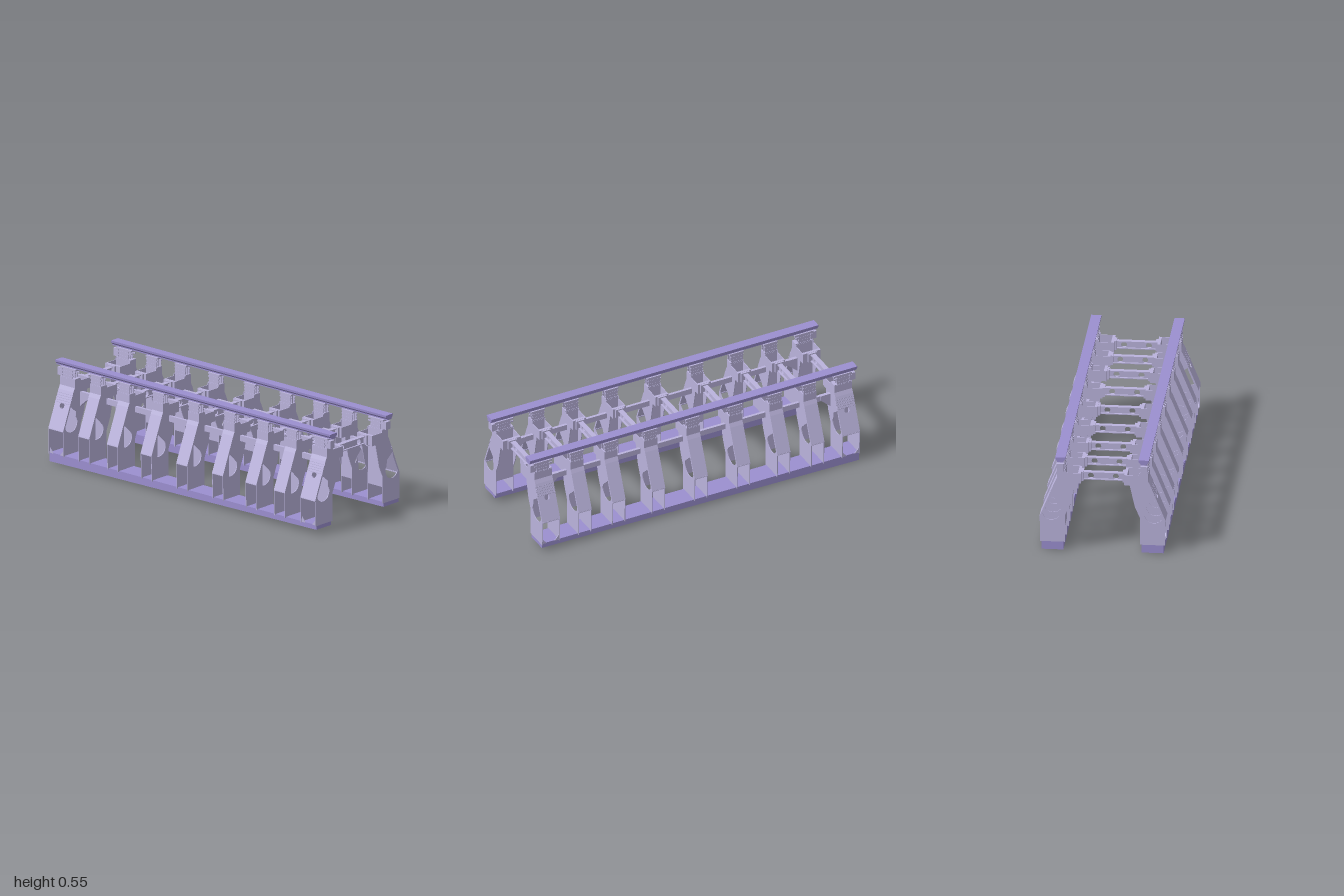
import * as THREE from 'three';

const frameMat = new THREE.MeshStandardMaterial({ color: 0xbab3dc, flatShading: true });
const beamMat = new THREE.MeshStandardMaterial({ color: 0x9b8fd0, flatShading: true });
const T = 0.004; // sheet thickness

function add(parent, name, geo, mat = frameMat) {
  const mesh = new THREE.Mesh(geo, mat);
  mesh.name = name;
  parent.add(mesh);
  return mesh;
}

// box given by its limits
function box(parent, name, x0, x1, y0, y1, z0, z1, mat) {
  const geo = new THREE.BoxGeometry(x1 - x0, y1 - y0, z1 - z0);
  geo.translate((x0 + x1) / 2, (y0 + y1) / 2, (z0 + z1) / 2);
  return add(parent, name, geo, mat);
}

const points = (list) => list.map(([x, y]) => new THREE.Vector2(x, y));

function extrude(shape, z0, z1) {
  const geo = new THREE.ExtrudeGeometry(shape, { depth: z1 - z0, bevelEnabled: false, curveSegments: 16 });
  return geo.translate(0, 0, z0);
}

// flat sheet spanning z = +-h between two points of the xy plane, thickened to its left
function sheet(parent, name, [ax, ay], [bx, by], h, holeAt) {
  const len = Math.hypot(bx - ax, by - ay);
  const shape = new THREE.Shape(points([[-h, 0], [h, 0], [h, len], [-h, len]]));
  if (holeAt) {
    const hole = new THREE.Path();
    hole.absarc(0, holeAt, 0.016, 0, Math.PI * 2, true);
    shape.holes.push(hole);
  }
  const dx = (bx - ax) / len, dy = (by - ay) / len;
  const m = new THREE.Matrix4().makeBasis(
    new THREE.Vector3(0, 0, 1), new THREE.Vector3(dx, dy, 0), new THREE.Vector3(-dy, dx, 0));
  m.setPosition(ax, ay, 0);
  return add(parent, name, extrude(shape, 0, T).applyMatrix4(m));
}

// side cheek of a leg, with a teardrop opening
function cheekShape(isEnd) {
  const shape = new THREE.Shape(points([
    [0.204, 0.046], [0.34, 0.046], [0.342, 0.19], [0.259, 0.396], [0.248, 0.418], [0.248, 0.462],
    [0.2, 0.462], [0.198, 0.451], [0.122, 0.451], [0.122, 0.392], [0.148, 0.392],
    [isEnd ? 0.176 : 0.172, isEnd ? 0.267 : 0.28], [0.204, 0.203],
  ]));
  const hole = new THREE.Path();
  hole.moveTo(0.288, 0.302);
  if (isEnd) {
    hole.lineTo(0.283, 0.32);
    hole.lineTo(0.24, 0.285);
  }
  hole.lineTo(0.237, 0.252);
  hole.quadraticCurveTo(0.228, 0.242, 0.228, 0.222);
  hole.quadraticCurveTo(0.236, 0.174, 0.285, 0.174);
  hole.quadraticCurveTo(0.315, 0.178, 0.326, 0.205);
  hole.lineTo(0.324, 0.215);
  shape.holes.push(hole);
  return shape;
}

// one leg on the +x side, centred on z = 0
function makeLeg(isEnd) {
  const leg = new THREE.Group();
  leg.name = 'leg';
  const h = isEnd ? 0.054 : 0.04;
  const shape = cheekShape(isEnd);
  add(leg, 'rearCheek', extrude(shape, -h, -h + T));
  add(leg, 'frontCheek', extrude(shape, h - T, h));

  // sloping outer skin and the neck above it
  sheet(leg, 'outerSkin', [0.344, 0.19], [0.26, 0.396], h, isEnd ? 0.137 : 0);
  sheet(leg, 'shoulderSkin', [0.26, 0.396], [0.249, 0.418], h);
  sheet(leg, 'neckSkin', [0.249, 0.418], [0.249, 0.462], h);
  box(leg, 'skinLip', 0.335, 0.343, 0.187, 0.193, -h, h);
  box(leg, 'innerSkin', 0.204, 0.208, 0.14, 0.46, -h, h);

  // corner gussets at the foot of the end legs
  if (isEnd) {
    for (const s of [-1, 1]) {
      const tri = new THREE.Shape(points(s > 0
        ? [[h, 0.05], [h, 0.085], [h - 0.03, 0.05]] : [[-h, 0.05], [-h + 0.03, 0.05], [-h, 0.085]]));
      const geo = extrude(tri, 0, T).rotateY(-Math.PI / 2).translate(0.336, 0, 0);
      add(leg, 'footGusset', geo);
    }
    for (let i = 0; i < 5; i++) {
      const y = 0.33 + i * 0.012, x = 0.285 - (y - 0.33) * 0.41;
      box(leg, 'rung', x - 0.002, x + 0.002, y - 0.002, y + 0.002, -h - 0.002, h + 0.002);
    }
  }

  // rail chair: plates around an upright web
  const c = 0.036;
  box(leg, 'chairBase', 0.205, 0.248, 0.46, 0.467, -h, h);
  box(leg, 'chairWeb', 0.224, 0.229, 0.467, 0.512, -c, c);
  box(leg, 'chairDiaphragm', 0.209, 0.244, 0.467, 0.512, -T / 2, T / 2);
  box(leg, 'chairTop', 0.207, 0.246, 0.512, 0.521, -h - 0.002, h + 0.002);
  for (const x of [0.207, 0.242]) {
    box(leg, 'chairSide', x, x + T, 0.467, 0.512, -c, c);
    box(leg, 'chairRib', x - 0.001, x + T + 0.001, 0.496, 0.503, -h, h);
    box(leg, 'chairRib', x - 0.001, x + T + 0.001, 0.478, 0.483, -c - 0.002, c + 0.002);
  }

  // socket that takes the cross tie
  box(leg, 'socketPlate', 0.118, 0.134, 0.392, 0.451, -h, h);
  box(leg, 'socketCollar', 0.106, 0.12, 0.396, 0.45, -0.026, 0.026);
  return leg;
}

// I-section cross tie with two round holes in its web
function makeTie() {
  const tie = new THREE.Group();
  tie.name = 'crossTie';
  const w = 0.12;
  const web = new THREE.Shape(points([[-w, 0.402], [w, 0.402], [w, 0.443], [-w, 0.443]]));
  for (const x of [-0.068, 0.068]) {
    const hole = new THREE.Path();
    hole.absarc(x, 0.421, 0.016, 0, Math.PI * 2, true);
    web.holes.push(hole);
  }
  add(tie, 'tieWeb', extrude(web, -0.003, 0.003));
  for (const y of [0.4, 0.439]) box(tie, 'tieFlange', -w, w, y, y + 0.005, -0.014, 0.014);
  return tie;
}

export function createModel() {
  const model = new THREE.Group();
  model.name = 'trackSupport';

  // row of frames, the first and last being wider
  const stations = [-0.917, -0.713, -0.505, -0.26, 0, 0.26, 0.503, 0.71, 0.917];
  stations.forEach((z, i) => {
    const isEnd = i === 0 || i === stations.length - 1;
    const frame = new THREE.Group();
    frame.name = 'frame';
    frame.position.z = z;
    const left = makeLeg(isEnd), right = makeLeg(isEnd);
    right.rotation.y = Math.PI;
    frame.add(left, right, makeTie());
    model.add(frame);
  });

  // base beams with a sloping underside, and flared top rails
  const sill = new THREE.Shape(points([[-0.97, 0.025], [0.97, 0], [0.97, 0.052], [-0.97, 0.052]]));
  const rail = new THREE.Shape(points([
    [-0.017, 0.525], [0.017, 0.525], [0.017, 0.531], [0.027, 0.541], [0.028, 0.553],
    [-0.028, 0.553], [-0.027, 0.541], [-0.017, 0.531],
  ]));
  for (const s of [-1, 1]) {
    add(model, 'baseBeam', extrude(sill, -0.06, 0.06).rotateY(Math.PI / 2).translate(s * 0.273, 0, 0), beamMat);
    add(model, 'topRail', extrude(rail, -1, 1).translate(s * 0.227, 0, 0), beamMat);

    // lengthwise brace between the legs, with end brackets
    for (let i = 0; i + 1 < stations.length; i++) {
      const a = stations[i] + 0.04, b = stations[i + 1] - 0.04;
      box(model, 'lengthBrace', s * 0.195 - 0.008, s * 0.195 + 0.008, 0.356, 0.388, a, b);
    }
    for (const e of [-1, 1]) {
      const list = [[0.865, 0.305], [0.865, 0.388], [0.8, 0.388], [0.8, 0.362]];
      const bracket = new THREE.Shape(points(list.map(([z, y]) => [-e * z, y])));
      add(model, 'endBracket', extrude(bracket, -0.01, 0.01).rotateY(Math.PI / 2).translate(s * 0.195, 0, 0));
      const z = e * 0.975;
      box(model, 'railStop', s * 0.227 - 0.018, s * 0.227 + 0.018, 0.468, 0.512, z - 0.018, z + 0.018);
    }
  }
  return model;
}
